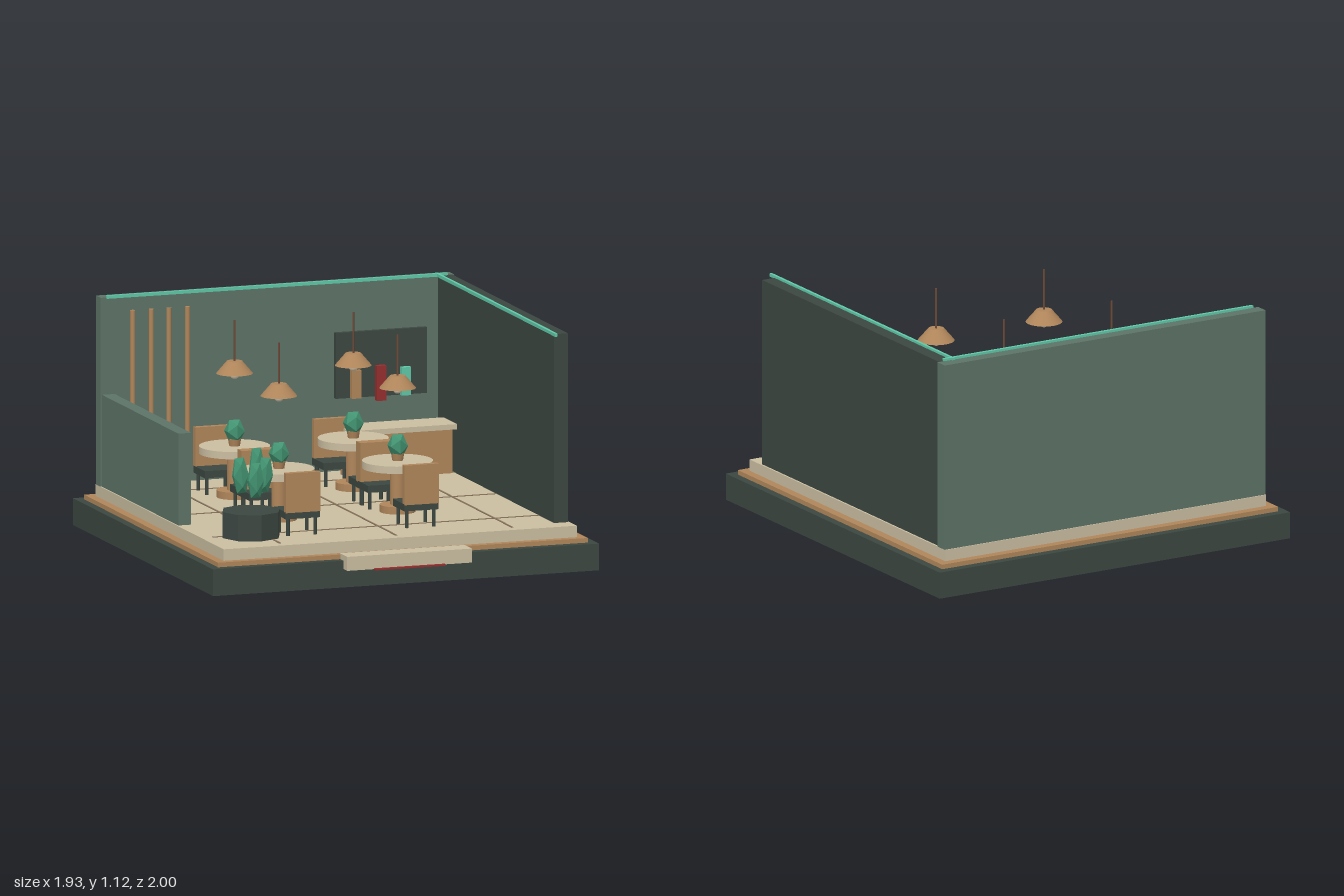
import * as THREE from 'three';

function material(name, color) {
  const m = new THREE.MeshStandardMaterial({ color });
  m.name = name;
  return m;
}

// Flat-faced geometry for the low-poly parts
function faceted(geometry) {
  const g = geometry.index ? geometry.toNonIndexed() : geometry;
  g.computeVertexNormals();
  return g;
}

export function createModel() {
  const dark = material('dark slate', 0x3c4741);
  const green = material('sage', 0x5e7468);
  const cream = material('cream', 0xcbbea1);
  const copper = material('copper', 0xb0865b);
  const teal = material('teal', 0x60c8a8);
  const leaf = material('leaf green', 0x439472);
  const red = material('red', 0x962f2f);
  const seam = material('floor seam', 0x86735b);
  const cordBrown = material('cord brown', 0x6e4a38);
  const warm = material('bulb', 0xe8dcc0);

  const model = new THREE.Group();
  model.name = 'cafeDiorama';

  function add(parent, name, geometry, mat, x = 0, y = 0, z = 0) {
    const mesh = new THREE.Mesh(geometry, mat);
    mesh.name = name;
    mesh.position.set(x, y, z);
    parent.add(mesh);
    return mesh;
  }

  // Box given by its lower and upper limits on each axis
  function box(parent, name, mat, [x0, x1], [y0, y1], [z0, z1]) {
    const g = new THREE.BoxGeometry(x1 - x0, y1 - y0, z1 - z0);
    return add(parent, name, g, mat, (x0 + x1) / 2, (y0 + y1) / 2, (z0 + z1) / 2);
  }

  // Upright cylinder or cone standing between two heights
  function post(parent, name, mat, rTop, rBottom, y0, y1, x = 0, z = 0, sides = 24) {
    const g = new THREE.CylinderGeometry(rTop, rBottom, y1 - y0, sides);
    return add(parent, name, g, mat, x, (y0 + y1) / 2, z);
  }

  function group(name, x = 0, z = 0) {
    const g = new THREE.Group();
    g.name = name;
    g.position.set(x, 0, z);
    model.add(g);
    return g;
  }

  // Stepped plinth
  box(model, 'base', dark, [-0.967, 0.967], [0, 0.128], [-1, 0.935]);
  box(model, 'trim', copper, [-0.927, 0.927], [0.128, 0.15], [-0.957, 0.892]);
  box(model, 'floor', cream, [-0.885, 0.885], [0.15, 0.205], [-0.915, 0.855]);

  // Floor seams
  for (const x of [-0.583, 0, 0.583]) {
    box(model, 'floorSeam', seam, [x - 0.005, x + 0.005], [0.203, 0.208], [-0.84, 0.8]);
  }
  for (const z of [-0.62, -0.035, 0.55]) {
    box(model, 'floorSeam', seam, [-0.83, 0.805], [0.203, 0.208], [z - 0.005, z + 0.005]);
  }

  // Entrance step
  box(model, 'step', cream, [-0.313, 0.313], [0.088, 0.155], [0.885, 0.985]);
  box(model, 'stepStripe', red, [-0.178, 0.175], [0.084, 0.092], [0.975, 1]);

  // Walls and glowing edge strips
  box(model, 'backWall', green, [-0.885, 0.885], [0.205, 1.11], [-0.91, -0.845]);
  box(model, 'tallSideWall', dark, [0.807, 0.876], [0.205, 1.11], [-0.845, 0.755]);
  box(model, 'lowSideWall', green, [-0.878, -0.814], [0.205, 0.645], [-0.845, 0.21]);
  box(model, 'backStrip', teal, [-0.857, 0.85], [1.106, 1.121], [-0.847, -0.831]);
  box(model, 'sideStrip', teal, [0.795, 0.809], [1.106, 1.121], [-0.855, 0.8]);

  // Wall slats
  for (const x of [-0.728, -0.635, -0.547, -0.453]) {
    post(model, 'wallSlat', copper, 0.012, 0.012, 0.205, 1.043, x, -0.834, 12);
  }

  // Display board with bottles
  box(model, 'board', dark, [0.285, 0.743], [0.555, 0.87], [-0.846, -0.82]);
  box(model, 'bottle', copper, [0.357, 0.403], [0.555, 0.69], [-0.82, -0.792]);
  box(model, 'bottle', red, [0.481, 0.528], [0.537, 0.705], [-0.82, -0.792]);
  box(model, 'bottle', teal, [0.606, 0.652], [0.555, 0.69], [-0.82, -0.792]);

  // Counter
  box(model, 'counterBody', copper, [0.263, 0.768], [0.218, 0.43], [-0.695, -0.54]);
  box(model, 'counterTop', cream, [0.243, 0.784], [0.43, 0.455], [-0.708, -0.523]);

  // Chair facing a table at its origin; side is +1 in front, -1 behind
  function chair(x, tableZ, side) {
    const c = group('chair', x, tableZ + side * 0.255);
    if (side < 0) c.rotation.y = Math.PI;
    box(c, 'seat', dark, [-0.086, 0.086], [0.288, 0.322], [-0.083, 0.075]);
    box(c, 'chairBack', copper, [-0.086, 0.086], [0.318, 0.508], [0.05, 0.08]);
    for (const lx of [-0.068, 0.068]) {
      for (const lz of [-0.06, 0.058]) {
        post(c, 'chairLeg', dark, 0.009, 0.009, 0.205, 0.288, lx, lz, 8);
      }
    }
  }

  // Four tables, each with a plant, two chairs and a pendant lamp
  for (const x of [-0.415, 0.18]) {
    for (const z of [-0.29, 0.322]) {
      const t = group('table', x, z);
      post(t, 'tableTop', cream, 0.168, 0.168, 0.435, 0.47, 0, 0, 32);
      post(t, 'tableStem', copper, 0.035, 0.035, 0.255, 0.435);
      post(t, 'tableFoot', copper, 0.085, 0.085, 0.225, 0.26);
      post(t, 'plantPot', copper, 0.032, 0.026, 0.47, 0.505, 0, 0, 12);
      const crystal = new THREE.IcosahedronGeometry(0.05, 0).scale(1, 1.25, 1);
      add(t, 'tablePlant', faceted(crystal), leaf, 0, 0.541, 0);

      const lamp = group('lamp', x, z);
      post(lamp, 'cord', cordBrown, 0.005, 0.005, 0.87, 1.072, 0, 0, 8);
      post(lamp, 'shade', copper, 0.037, 0.087, 0.817, 0.876);
      add(lamp, 'bulb', new THREE.SphereGeometry(0.023, 16, 12), warm, 0, 0.812, 0);

      chair(x, z, 1);
      chair(x, z, -1);
    }
  }

  // Octagonal planter with pointed leaves
  const planter = group('planter', -0.65, 0.585);
  const tub = new THREE.CylinderGeometry(0.143, 0.143, 0.125, 8);
  add(planter, 'tub', faceted(tub), dark, 0, 0.268, 0);
  const leaves = [
    [-0.053, 0.5, 0, 0.2, 0.08],
    [0.042, 0.51, -0.03, 0.26, 0.04],
    [0.01, 0.478, 0.035, 0.195, 0],
    [0.06, 0.5, 0.022, 0.195, -0.08],
  ];
  for (const [x, y, z, height, tilt] of leaves) {
    const blade = new THREE.IcosahedronGeometry(0.5, 0).scale(0.088, height, 0.052);
    add(planter, 'leaf', faceted(blade), leaf, x, y, z).rotation.z = tilt;
  }

  return model;
}
